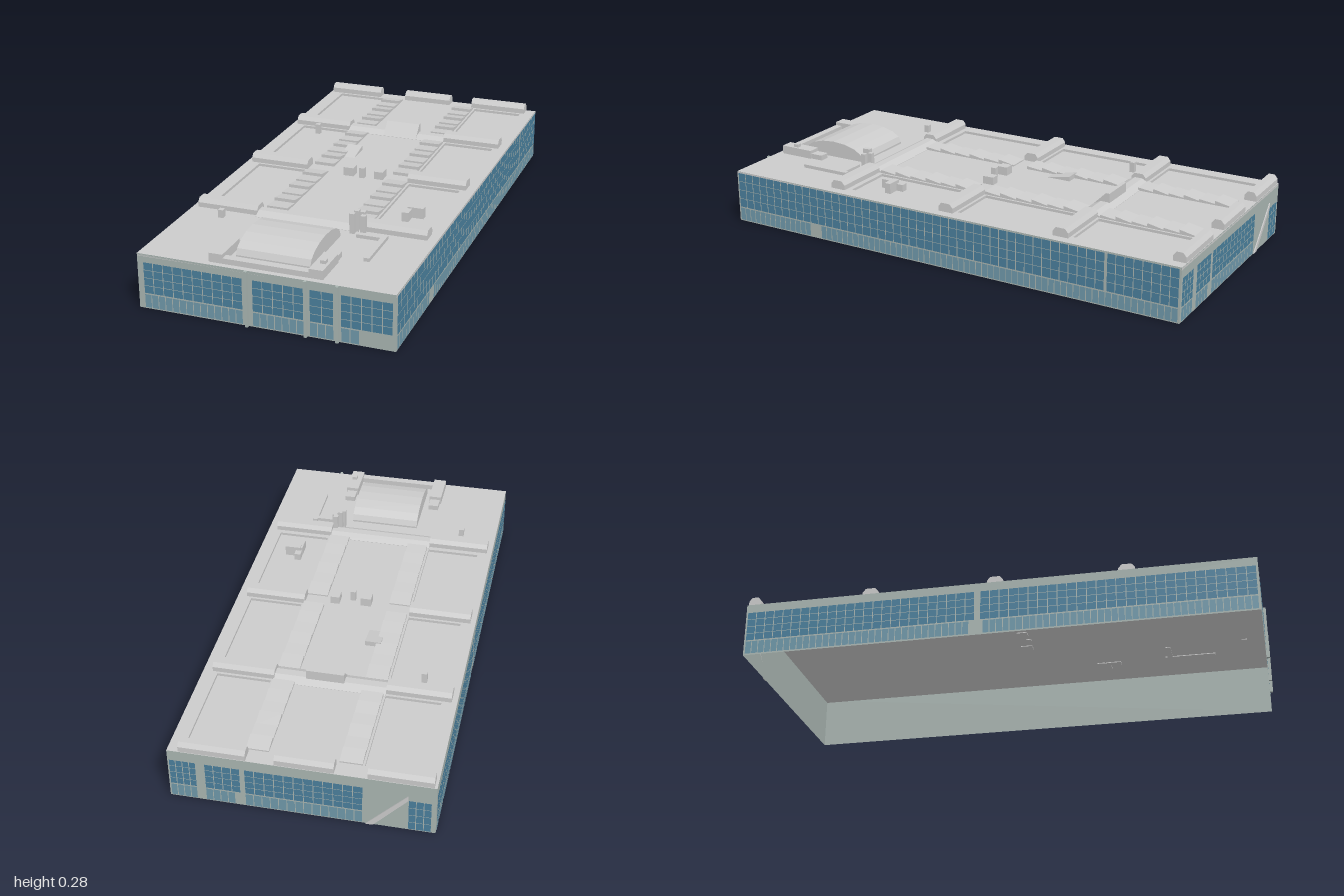
import * as THREE from 'three';
import { mergeGeometries } from 'three/addons/utils/BufferGeometryUtils.js';

const L = 1.882, W = 0.93, ROOF = 0.205;
const mat = (color) => new THREE.MeshStandardMaterial({ color, side: THREE.DoubleSide, flatShading: true });

export function createModel() {
  const root = new THREE.Group();
  root.name = 'officeBuilding';
  const hall = new THREE.Group();
  hall.name = 'hall';
  hall.rotation.y = Math.PI / 4; // the block stands diagonally on its plot
  root.add(hall);
  const grey = mat(0xcccccc), wallMat = mat(0xa9b5b1), glass = mat(0x4a7f9c), lightGlass = mat(0x6f98aa);

  const add = (parent, name, geo, m = grey) => {
    const mesh = new THREE.Mesh(geo, m);
    mesh.name = name;
    parent.add(mesh);
    return mesh;
  };
  // box from ranges: along u (length), y, v (depth)
  const boxGeo = (u0, u1, y0, y1, v0, v1) =>
    new THREE.BoxGeometry(u1 - u0, y1 - y0, v1 - v0).translate((u0 + u1) / 2, (y0 + y1) / 2, (v0 + v1) / 2);
  const box = (name, ...r) => add(hall, name, boxGeo(...r));
  // profile in (u, y), extruded across from v0 to v1
  const profileGeo = (pts, v0, v1) => new THREE.ExtrudeGeometry(
    new THREE.Shape(pts.map(([x, y]) => new THREE.Vector2(x, y))),
    { depth: v1 - v0, bevelEnabled: false }).translate(0, 0, v0);

  // Facades: a wall with glazed grids, each grid is [s0, s1, y0, y1, columns, rows]
  function facade(name, length, dist, angle, upper, lower) {
    const g = new THREE.Group();
    g.name = name;
    g.rotation.y = angle;
    hall.add(g);
    add(g, 'wall', new THREE.PlaneGeometry(length, ROOF).translate(0, ROOF / 2, dist), wallMat);
    const panes = (grids, label, m) => {
      const list = [];
      for (const [s0, s1, y0, y1, cols, rows] of grids) {
        const w = (s1 - s0) / cols, h = (y1 - y0) / rows;
        for (let c = 0; c < cols; c++) for (let r = 0; r < rows; r++) {
          list.push(new THREE.PlaneGeometry(w - 0.003, h - 0.002)
            .translate(s0 + w * (c + 0.5), y0 + h * (r + 0.5), dist + 0.002));
        }
      }
      add(g, label, mergeGeometries(list), m);
    };
    panes(upper, 'windows', glass);
    panes(lower, 'groundFloorWindows', lightGlass);
    return g;
  }

  facade('longFrontFacade', L, W / 2, 0,
    [[-0.935, 0.66, 0.058, 0.2, 46, 4], [0.668, 0.935, 0.058, 0.2, 8, 4]],
    [[-0.935, -0.59, 0.004, 0.055, 14, 1], [-0.54, 0.935, 0.004, 0.055, 60, 1]]);
  facade('longBackFacade', L, W / 2, Math.PI,
    [[-0.935, -0.07, 0.058, 0.172, 25, 4], [-0.05, 0.935, 0.058, 0.172, 28, 4]],
    [[-0.935, -0.09, 0.004, 0.055, 34, 1], [-0.04, 0.935, 0.004, 0.055, 40, 1]]);
  const entry = facade('entranceFacade', W, L / 2, -Math.PI / 2,
    [[-0.443, -0.075, 0.058, 0.175, 10, 4], [-0.04, 0.145, 0.058, 0.175, 5, 4],
      [0.165, 0.25, 0.058, 0.175, 2, 4], [0.275, 0.455, 0.058, 0.175, 5, 4]],
    [[-0.443, -0.075, 0.004, 0.055, 14, 1], [-0.04, 0.145, 0.004, 0.055, 7, 1],
      [0.165, 0.25, 0.004, 0.055, 3, 1], [0.275, 0.34, 0.004, 0.055, 2, 1]]);
  for (const s of [-0.06, 0.152, 0.264])
    add(entry, 'wallFin', boxGeo(s - 0.005, s + 0.005, 0, ROOF, L / 2, L / 2 + 0.012), wallMat);
  const end = facade('rearEndFacade', W, L / 2, Math.PI / 2,
    [[-0.46, -0.365, 0.058, 0.166, 4, 4], [-0.335, -0.21, 0.058, 0.166, 4, 4],
      [-0.195, 0.215, 0.058, 0.166, 12, 4], [0.37, 0.45, 0.004, 0.135, 3, 4]],
    [[-0.46, -0.365, 0.004, 0.055, 4, 1], [-0.335, -0.23, 0.004, 0.055, 4, 1], [-0.195, 0.215, 0.004, 0.055, 14, 1]]);
  // Sloping strip beside the rear stair
  add(end, 'stairSlope', profileGeo([[0.225, 0], [0.25, 0], [0.37, 0.135], [0.37, 0.155]], L / 2, L / 2 + 0.004));

  // Roof deck with recessed panels in three bays on either side
  const rect = (P, u0, u1, v0, v1) => new P()
    .moveTo(u0, v0).lineTo(u1, v0).lineTo(u1, v1).lineTo(u0, v1).closePath();
  const deck = rect(THREE.Shape, -L / 2, L / 2, -W / 2, W / 2);
  for (const [u0, u1] of [[-0.43, -0.04], [0.04, 0.43], [0.51, 0.88]])
    for (const s of [-1, 1])
      deck.holes.push(rect(THREE.Path, u0, u1, Math.min(s * 0.21, s * 0.41), Math.max(s * 0.21, s * 0.41)));
  add(hall, 'roofDeck', new THREE.ExtrudeGeometry(deck, { depth: 0.01, bevelEnabled: false })
    .rotateX(Math.PI / 2).translate(0, ROOF, 0));
  add(hall, 'roofPanels', new THREE.PlaneGeometry(L - 0.004, W - 0.004).rotateX(-Math.PI / 2).translate(0, 0.195, 0));

  // Saw-tooth rooflight rows along both sides of the central strip
  for (const s of [-1, 1]) {
    const teeth = [];
    for (const [u0, u1] of [[-0.44, -0.03], [0.03, 0.43], [0.51, 0.88]]) {
      const n = 6, w = (u1 - u0) / n;
      for (let i = 0; i < n; i++) {
        const a = u0 + i * w, b = a + w, hi = i % 2 ? 0.222 : 0.217;
        teeth.push(profileGeo([[a, 0.2], [b, 0.2], [b, 0.21], [a, hi]], s * 0.162 - 0.04, s * 0.162 + 0.04));
      }
    }
    add(hall, 'rooflightRow', mergeGeometries(teeth));
  }

  // Cross beams with chamfered tops
  const beam = (name, u, v0, v1, base = 0.03, top = 0.018, y = 0.238) =>
    add(hall, name, profileGeo([[u - base, 0.2], [u + base, 0.2], [u + base, y - 0.015], [u + top, y], [u - top, y], [u - base, y - 0.015]], v0, v1));
  for (const u of [-0.48, 0, 0.47]) {
    beam('crossBeam', u, -0.445, -0.21);
    beam('crossBeam', u, 0.2, 0.43);
    if (u) beam('lowCrossBeam', u, -0.21, 0.2, 0.045, 0.015, 0.221);
  }
  for (const [v0, v1] of [[-0.455, -0.23], [-0.115, 0.09], [0.19, 0.425]]) beam('endParapet', 0.915, v0, v1, 0.024, 0.012, 0.24);

  // Vaulted rooflight near the entrance
  const arch = [[-0.855, 0.2]];
  for (let i = 0; i <= 8; i++) {
    const t = Math.PI * (1 - i / 8);
    arch.push([-0.715 + 0.14 * Math.cos(t), 0.212 + 0.056 * Math.sin(t)]);
  }
  arch.push([-0.575, 0.2]);
  add(hall, 'vaultedRooflight', profileGeo(arch, -0.135, 0.135));
  for (const s of [-1, 1]) {
    const v = s * 0.18;
    box('vaultSideBlock', -0.92, -0.78, 0.2, 0.238, v - 0.025, v + 0.025);
    box('vaultSideStep', -0.78, -0.73, 0.2, 0.225, v - 0.02, v + 0.02);
  }
  box('entranceParapet', -0.92, -0.89, 0.2, 0.225, -0.155, 0.155);

  // Chimney cluster
  for (const [u, v, y] of [[-0.535, 0.165, 0.28], [-0.515, 0.175, 0.285], [-0.495, 0.19, 0.275], [-0.52, 0.2, 0.27]])
    box('chimney', u - 0.009, u + 0.009, 0.2, y, v - 0.009, v + 0.009);

  // Tilted roof hatches
  add(hall, 'tiltedHatch', profileGeo([[0.42, 0.2], [0.49, 0.2], [0.49, 0.255], [0.475, 0.255]], -0.055, 0.085));
  add(hall, 'smallTiltedHatch', profileGeo([[0.12, 0.2], [0.24, 0.2], [0.24, 0.224]], -0.14, -0.08));

  // Plant units: [u, v, width, depth, top]
  for (const [u, v, w, d, y] of [
    [-0.02, -0.035, 0.04, 0.04, 0.238], [-0.015, 0.085, 0.045, 0.035, 0.235], [-0.035, 0.02, 0.02, 0.02, 0.245],
    [-0.33, 0.3, 0.06, 0.025, 0.23], [-0.305, 0.325, 0.025, 0.06, 0.235], [-0.28, 0.3, 0.03, 0.025, 0.222],
    [0.39, -0.33, 0.02, 0.02, 0.235], [-0.565, -0.325, 0.02, 0.02, 0.235], [-0.86, 0.185, 0.02, 0.02, 0.25],
    [-0.64, 0.29, 0.2, 0.02, 0.218], [-0.56, 0.24, 0.02, 0.1, 0.218]])
    box('plantUnit', u - w / 2, u + w / 2, 0.192, y, v - d / 2, v + d / 2);

  return root;
}
